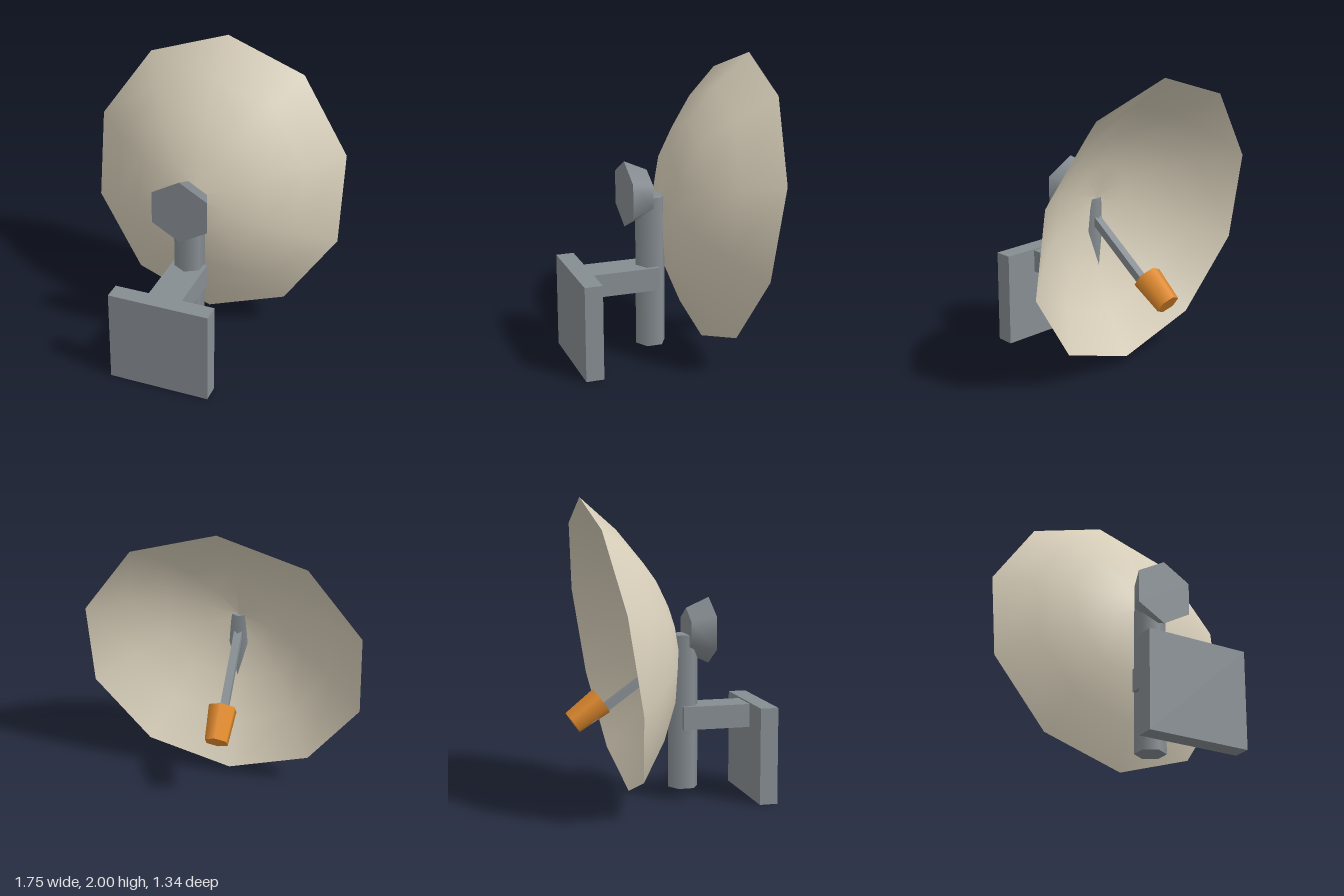
import * as THREE from 'three';

const steel = new THREE.MeshStandardMaterial({ color: 0x868d92 });
const cream = new THREE.MeshStandardMaterial({ color: 0xd8cfba, side: THREE.DoubleSide });
const orange = new THREE.MeshStandardMaterial({ color: 0xe08a2c });

export function createModel() {
  const group = new THREE.Group();

  const add = (name, geometry, material, y, z, tilt = 0) => {
    const mesh = new THREE.Mesh(geometry, material);
    mesh.name = name;
    mesh.position.set(0, y, z);
    mesh.rotation.x = THREE.MathUtils.degToRad(tilt);
    group.add(mesh);
    return mesh;
  };
  const hexagon = (top, bottom, height) => new THREE.CylinderGeometry(top, bottom, height, 6);

  // Wall plate, bracket and mast
  add('wallPlate', new THREE.BoxGeometry(0.685, 0.64, 0.12), steel, 0.32, 0.61);
  add('bracketArm', new THREE.BoxGeometry(0.23, 0.155, 0.455), steel, 0.553, 0.323);
  add('mast', hexagon(0.102, 0.102, 1.025), steel, 0.588, 0.12);

  // Tapered housing behind the mast head
  add('rearHousing', hexagon(0.22, 0.15, 0.155), steel, 1.122, 0.218, 90);

  // Thin ten-sided parabolic dish, slightly narrower than tall
  const radius = 0.982, depth = 0.46;
  const profile = [1, 0.75, 0.5, 0.25, 0].map(
    (t) => new THREE.Vector2(radius * t, depth * (1 - t * t)));
  const dish = add('dish', new THREE.LatheGeometry(profile, 10), cream, 1.031, -0.408, 80.75);
  dish.scale.x = 0.935;

  // Feed boom and feed horn
  add('feedBoom', new THREE.BoxGeometry(0.052, 0.69, 0.052), steel, 0.755, -0.235, 54.6);
  add('feedHorn', hexagon(0.097, 0.08, 0.234), orange, 0.611, -0.528, 54.6);

  return group;
}
